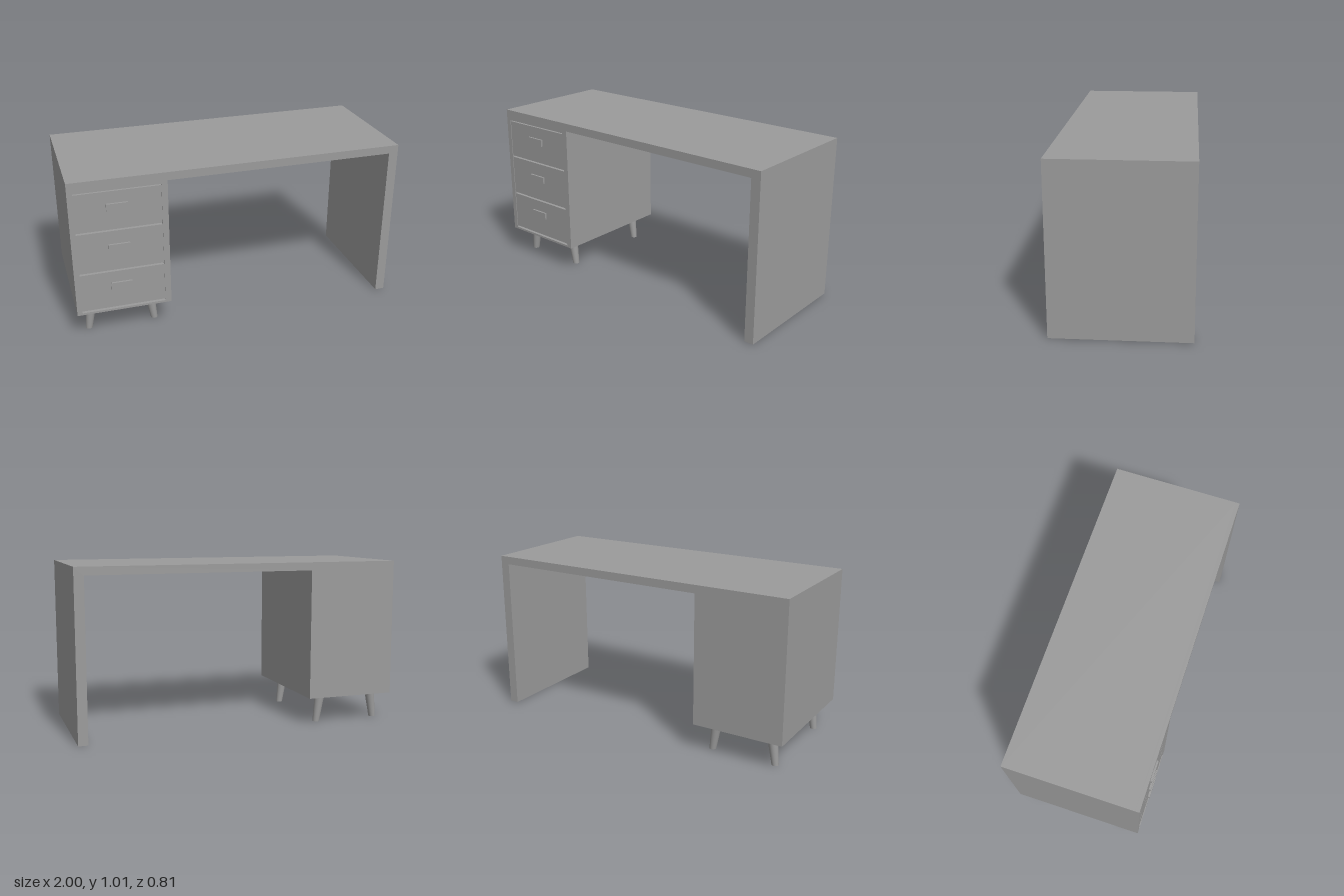
import * as THREE from 'three';

const material = new THREE.MeshStandardMaterial({ color: 0x9b9b9b });
const BACK = -0.403, SEAM = 0.372, FRONT = 0.396, FACE = 0.392;
const TOP = 1.012, UNDER = 0.963, FLOOR = 0.003, CAB_BOTTOM = 0.168;
const OPEN = { x0: -0.969, x1: -0.471, y0: 0.181, y1: 0.945 };

function add(parent, geometry, name, x = 0, y = 0, z = 0) {
  const mesh = new THREE.Mesh(geometry, material);
  mesh.name = name;
  mesh.position.set(x, y, z);
  parent.add(mesh);
}

// Front outline: cabinet, worktop and side panel in one continuous piece
function outline() {
  return new THREE.Shape([
    [-1, CAB_BOTTOM], [-0.435, CAB_BOTTOM], [-0.435, UNDER], [0.942, UNDER],
    [0.942, FLOOR], [1, FLOOR], [1, TOP], [-1, TOP],
  ].map(([x, y]) => new THREE.Vector2(x, y)));
}

const extrude = (shape, depth) => new THREE.ExtrudeGeometry(shape, { depth, bevelEnabled: false });

// Tapered leg standing on the ground, leaning by a shear so both ends stay level
function legGeometry(lean) {
  const height = CAB_BOTTOM + 0.004;
  const shear = new THREE.Matrix4().makeShear(0, 0, lean / height, 0, 0, 0);
  return new THREE.CylinderGeometry(0.031, 0.021, height, 32)
    .translate(0, height / 2, 0)
    .applyMatrix4(shear);
}

export function createModel() {
  const desk = new THREE.Group();
  desk.name = 'desk';

  add(desk, extrude(outline(), SEAM - BACK), 'deskBody', 0, 0, BACK);

  // Front layer with the drawer opening
  const { x0, x1, y0, y1 } = OPEN;
  const frame = outline();
  frame.holes.push(new THREE.Path([
    new THREE.Vector2(x0, y0), new THREE.Vector2(x0, y1),
    new THREE.Vector2(x1, y1), new THREE.Vector2(x1, y0),
  ]));
  add(desk, extrude(frame, FRONT - SEAM), 'frontFrame', 0, 0, SEAM);

  // Drawers: bottom, top and handle centre heights, with grooves between them
  [[0.191, 0.429, 0.336], [0.44, 0.691, 0.587], [0.702, 0.937, 0.842]].forEach(([bottom, top, handleY], i) => {
    const drawer = new THREE.Group();
    drawer.name = `drawer${i + 1}`;
    desk.add(drawer);
    const depth = FACE - SEAM;
    add(drawer, new THREE.BoxGeometry(x1 - x0, top - bottom, depth), 'drawerFront',
      (x0 + x1) / 2, (bottom + top) / 2, SEAM + depth / 2);
    add(drawer, new THREE.BoxGeometry(0.124, 0.044, 0.012), 'handle', -0.728, handleY, FACE + 0.006);
  });

  // Legs splayed sideways
  for (const side of [-1, 1]) {
    for (const z of [0.274, -0.312]) {
      add(desk, legGeometry(-side * 0.024), 'leg', -0.724 + side * 0.202, 0, z);
    }
  }
  return desk;
}
